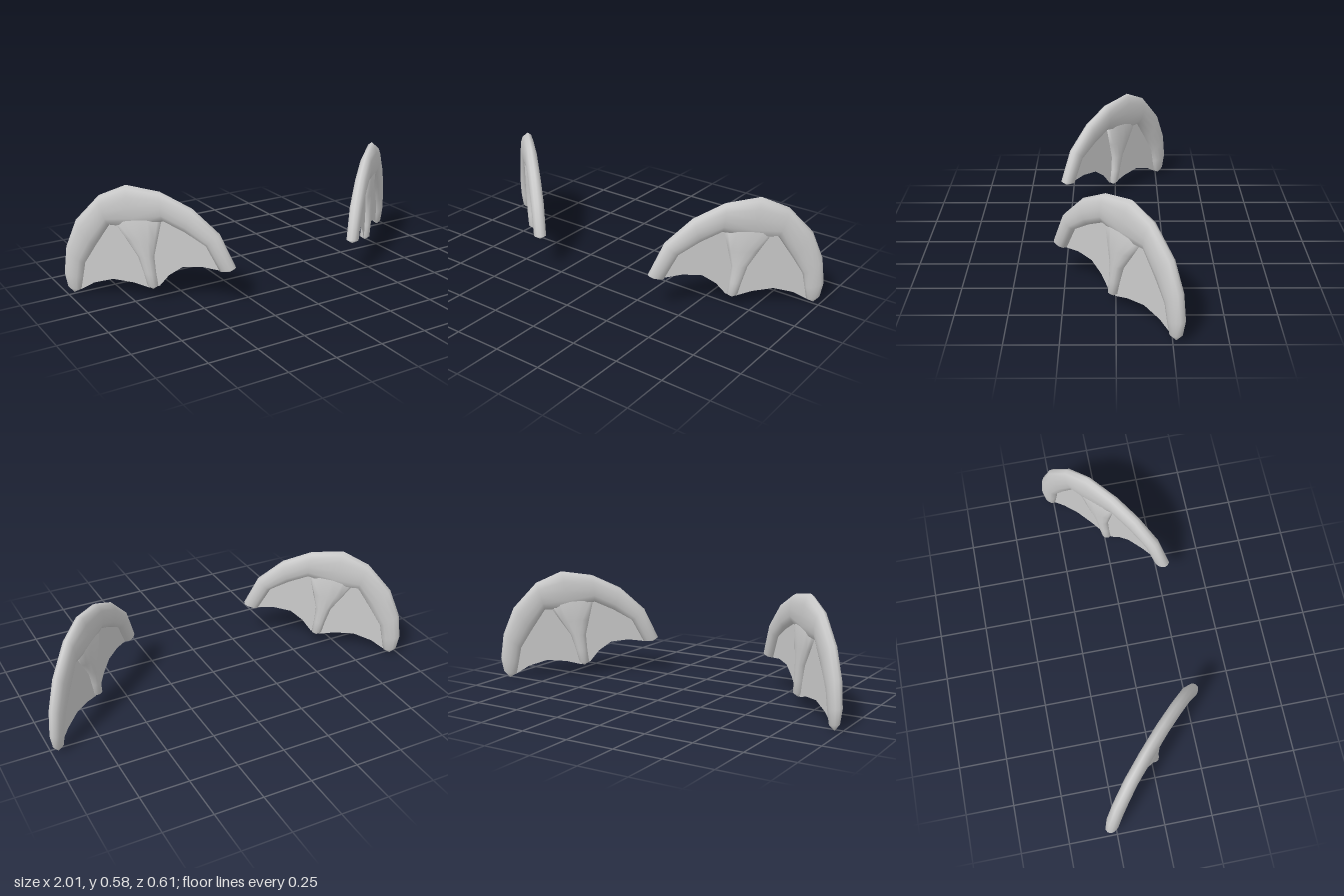
import * as THREE from 'three';

// Sections across each limb: edge A (z, y), edge B (z, y), half thickness
const RIM = [
  [0.274, 0.17, 0.274, 0.17, 0],
  [0.295, 0.195, 0.24, 0.175, 0.032],
  [0.243, 0.36, 0.195, 0.3, 0.034],
  [0.152, 0.485, 0.125, 0.362, 0.034],
  [0.047, 0.56, 0.055, 0.41, 0.034],
  [-0.067, 0.585, -0.04, 0.37, 0.034],
  [-0.16, 0.525, -0.13, 0.375, 0.034],
  [-0.245, 0.39, -0.182, 0.26, 0.034],
  [-0.285, 0.245, -0.222, 0.165, 0.034],
  [-0.297, 0.11, -0.232, 0.09, 0.031],
  [-0.288, 0.035, -0.242, 0.02, 0.022],
  [-0.267, 0, -0.267, 0, 0],
];
const RIB = [
  [-0.035, 0.5, -0.035, 0.5, 0],
  [-0.12, 0.41, 0.05, 0.42, 0.028],
  [-0.075, 0.31, 0.033, 0.31, 0.03],
  [-0.036, 0.225, 0.02, 0.225, 0.03],
  [-0.018, 0.14, 0.024, 0.14, 0.029],
  [-0.006, 0.07, 0.03, 0.07, 0.026],
  [0.012, 0.05, 0.012, 0.05, 0],
];
// Scalloped lower edge of the web, back to front
const SCALLOPS = [
  [-0.267, 0.005], [-0.24, 0.02], [-0.195, 0.06], [-0.127, 0.088], [-0.055, 0.077], [0, 0.055],
  [0.035, 0.07], [0.068, 0.13], [0.115, 0.178], [0.18, 0.187], [0.245, 0.173], [0.274, 0.172],
];

// Places a point (z, y) on the slanted fin plane, raised by t along its normal
function place(z, y, t, side) {
  return [side * (0.67 - 1.1 * z + 0.673 * t), y, z + 0.74 * t];
}

// Rounded limb lofted through flattened oval sections
function limb(sections, side) {
  const n = 12, pos = [], index = [];
  for (const [za, ya, zb, yb, h] of sections) {
    for (let j = 0; j < n; j++) {
      const a = (j / n) * Math.PI * 2, f = 0.5 - 0.5 * Math.cos(a), s = Math.sin(a);
      const t = h * Math.sign(s) * Math.pow(Math.abs(s), 0.85);
      pos.push(...place(za + (zb - za) * f, ya + (yb - ya) * f, t, side));
    }
  }
  for (let i = 0; i < sections.length - 1; i++) {
    for (let j = 0; j < n; j++) {
      const a = i * n + j, b = i * n + (j + 1) % n, c = b + n, d = a + n;
      if (side > 0) index.push(a, b, c, a, c, d);
      else index.push(a, c, b, a, d, c);
    }
  }
  const g = new THREE.BufferGeometry();
  g.setAttribute('position', new THREE.Float32BufferAttribute(pos, 3));
  g.setIndex(index);
  g.computeVertexNormals();
  return g;
}

// Thin web filling the space between the rim and the scalloped edge
function web(side) {
  const top = RIM.slice(1, -1).map(([za, ya, zb, yb]) => [zb * 0.8 + za * 0.2, yb * 0.8 + ya * 0.2]);
  const shape = new THREE.Shape([...top, ...SCALLOPS].map(([z, y]) => new THREE.Vector2(z, y)));
  const g = new THREE.ShapeGeometry(shape);
  const p = g.attributes.position;
  for (let i = 0; i < p.count; i++) p.setXYZ(i, ...place(p.getX(i), p.getY(i), 0, side));
  // Keep the front of the sheet facing outwards on both sides
  if (side > 0) {
    const k = g.index.array;
    for (let i = 0; i < k.length; i += 3) [k[i + 1], k[i + 2]] = [k[i + 2], k[i + 1]];
  }
  g.computeVertexNormals();
  if (g.attributes.normal.getZ(0) < 0) {
    const k = g.index.array;
    for (let i = 0; i < k.length; i += 3) [k[i + 1], k[i + 2]] = [k[i + 2], k[i + 1]];
    g.computeVertexNormals();
  }
  return g;
}

export function createModel() {
  const grey = new THREE.MeshStandardMaterial({ color: 0xcccccc, side: THREE.DoubleSide });
  grey.name = 'light grey';
  const model = new THREE.Group();
  model.name = 'webbedFins';
  for (const side of [1, -1]) {
    const fin = new THREE.Group();
    fin.name = side > 0 ? 'leftFin' : 'rightFin';
    const add = (name, geometry) => {
      const mesh = new THREE.Mesh(geometry, grey);
      mesh.name = name;
      fin.add(mesh);
    };
    add('rim', limb(RIM, side));
    add('middleRib', limb(RIB, side));
    add('web', web(side));
    model.add(fin);
  }
  return model;
}
